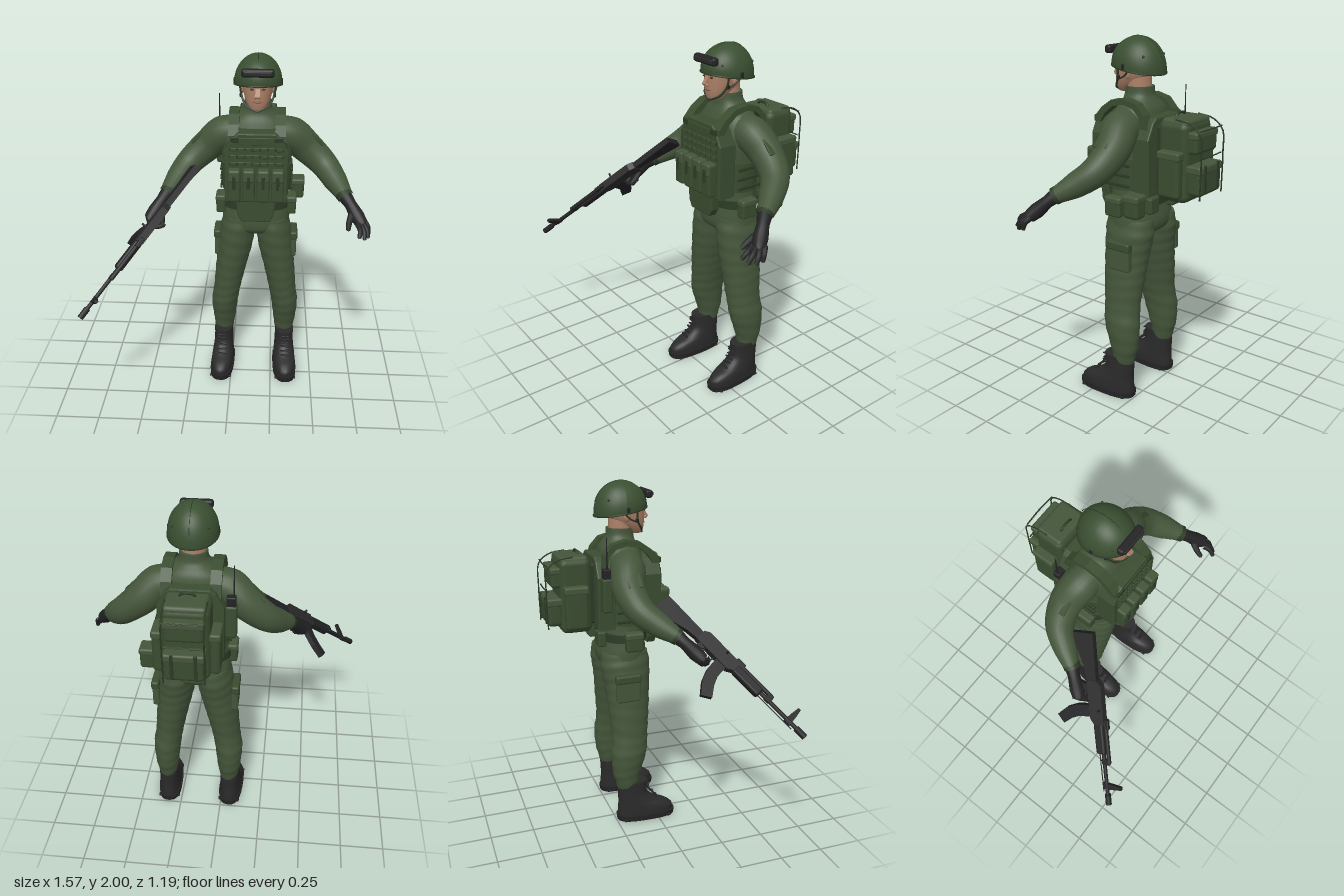
import * as THREE from 'three';
import { RoundedBoxGeometry } from 'three/addons/geometries/RoundedBoxGeometry.js';

const paint = (name, color, side = THREE.FrontSide) => {
  const m = new THREE.MeshStandardMaterial({ color, side });
  m.name = name;
  return m;
};

export function createModel() {
  const cloth = paint('uniform green', 0x44553a);
  const gear = paint('gear green', 0x3a4c30);
  const shell = paint('helmet green', 0x3a4f31, THREE.DoubleSide);
  const trim = paint('dark green trim', 0x2c3a25);
  const black = paint('black', 0x232325);
  const boot = paint('boot black', 0x2a2a2b);
  const skin = paint('skin', 0xab8067);
  const lip = paint('lips', 0x8c5c4c);
  const brow = paint('brow brown', 0x3a2b22);

  const model = new THREE.Group();
  const group = (name, parent = model) => {
    const g = new THREE.Group();
    g.name = name;
    parent.add(g);
    return g;
  };
  const add = (parent, name, geo, mat, x = 0, y = 0, z = 0) => {
    const m = new THREE.Mesh(geo, mat);
    m.name = name;
    m.position.set(x, y, z);
    parent.add(m);
    return m;
  };
  const box = (parent, name, mat, w, h, d, x, y, z, r = 0.012) =>
    add(parent, name, new RoundedBoxGeometry(w, h, d, 2, Math.min(r, w / 2.1, h / 2.1, d / 2.1)), mat, x, y, z);
  const both = (fn) => [1, -1].forEach(fn);

  // Smooth stack of horizontal rings; rows are [y, z, rx, rz, x], bottom to top
  function loft(rows, pow = 2, fold = 0, steps = 5, seg = 28) {
    const pos = [], idx = [], rings = [];
    const row = (i) => rows[Math.max(0, Math.min(rows.length - 1, i))];
    const last = (rows.length - 1) * steps;
    for (let k = 0; k <= last; k++) {
      const i = Math.min(Math.floor(k / steps), rows.length - 2), t = k / steps - i;
      rings.push([0, 1, 2, 3, 4].map((c) => {
        const [a, b, d, e] = [-1, 0, 1, 2].map((o) => row(i + o)[c] || 0);
        return b + 0.5 * t * (d - a + t * (2 * a - 5 * b + 4 * d - e + t * (3 * (b - d) + e - a)));
      }));
    }
    const ring = ([y, z, rx, rz, x]) => {
      for (let j = 0; j < seg; j++) {
        const a = (j / seg) * Math.PI * 2, c = Math.cos(a), s = Math.sin(a);
        const w = 1 + fold * Math.sin(y * 85 + 1.5 * Math.sin(a + y * 9));
        pos.push(x + w * rx * Math.sign(c) * Math.abs(c) ** (2 / pow), y, z + w * rz * Math.sign(s) * Math.abs(s) ** (2 / pow));
      }
    };
    rings.forEach(ring);
    for (let i = 0; i < last; i++) for (let j = 0; j < seg; j++) {
      const a = i * seg + j, b = i * seg + (j + 1) % seg;
      idx.push(a, a + seg, b, b, a + seg, b + seg);
    }
    [rings[0], rings[last]].forEach((r, top) => {
      const o = pos.length / 3;
      ring(r);
      pos.push(r[4], r[0], r[1]);
      for (let j = 0; j < seg; j++) {
        const a = o + j, b = o + (j + 1) % seg;
        idx.push(o + seg, top ? b : a, top ? a : b);
      }
    });
    const g = new THREE.BufferGeometry();
    g.setAttribute('position', new THREE.Float32BufferAttribute(pos, 3));
    g.setIndex(idx);
    g.computeVertexNormals();
    return g;
  }

  // Tube of changing radius; points are [x, y, z, r], mirrored by s
  function limb(points, s = 1, seg = 24, radial = 16) {
    const curve = new THREE.CatmullRomCurve3(points.map((p) => new THREE.Vector3(p[0] * s, p[1], p[2])));
    const g = new THREE.TubeGeometry(curve, seg, 1, radial), p = g.attributes.position, v = new THREE.Vector3();
    for (let i = 0; i < p.count; i++) {
      const u = Math.floor(i / (radial + 1)) / seg, c = curve.getPointAt(u);
      const f = curve.getUtoTmapping(u) * (points.length - 1), k = Math.min(Math.floor(f), points.length - 2);
      const r = THREE.MathUtils.lerp(points[k][3], points[k + 1][3], f - k);
      v.fromBufferAttribute(p, i).sub(c).multiplyScalar(r).add(c);
      p.setXYZ(i, v.x, v.y, v.z);
    }
    return g;
  }
  const cord = (r, ...pts) => limb(pts.map((p) => [...p, r]), 1, 20, 6);

  // Side profile of [z, y] points, extruded across x and centred
  function side(points, w) {
    const g = new THREE.ExtrudeGeometry(new THREE.Shape(points.map((p) => new THREE.Vector2(...p))), { depth: w, bevelEnabled: false });
    return g.translate(0, 0, -w / 2).rotateY(-Math.PI / 2);
  }
  // Front profile of [x, y] points with bevelled edges, thick along z
  function front(points, d) {
    const g = new THREE.ExtrudeGeometry(new THREE.Shape(points.map((p) => new THREE.Vector2(...p))),
      { depth: d - 0.016, bevelSize: 0.008, bevelThickness: 0.008, bevelSegments: 2 });
    return g.translate(0, 0, 0.008);
  }

  const body = group('soldier');
  body.position.x = 0.14;

  // Clothed body
  add(body, 'torso', loft([[0.94, -0.155, 0.08, 0.07], [0.98, -0.155, 0.185, 0.13], [1.04, -0.155, 0.198, 0.143], [1.13, -0.15, 0.19, 0.13],
    [1.24, -0.145, 0.185, 0.122], [1.38, -0.14, 0.195, 0.13], [1.5, -0.14, 0.205, 0.132], [1.58, -0.148, 0.195, 0.122],
    [1.635, -0.152, 0.16, 0.108], [1.675, -0.15, 0.105, 0.088], [1.705, -0.145, 0.08, 0.078], [1.745, -0.145, 0.074, 0.074]], 2.2), cloth);
  both((s) => {
    add(body, 'trouserLeg', loft([[0.2, -0.175, 0.05, 0.06, s * 0.19], [0.25, -0.178, 0.06, 0.068, s * 0.19], [0.32, -0.178, 0.07, 0.085, s * 0.19],
      [0.44, -0.163, 0.081, 0.106, s * 0.187], [0.55, -0.152, 0.083, 0.107, s * 0.17], [0.7, -0.15, 0.093, 0.12, s * 0.147],
      [0.85, -0.15, 0.103, 0.133, s * 0.121], [0.97, -0.156, 0.103, 0.145, s * 0.106], [1.05, -0.155, 0.09, 0.135, s * 0.1]], 2, 0.014, 8), cloth);
    add(body, 'sleeve', limb([[0.09, 1.56, -0.15, 0.085], [0.19, 1.54, -0.16, 0.1], [0.28, 1.46, -0.182, 0.091],
      [0.385, 1.365, -0.155, 0.078], [0.45, 1.295, -0.075, 0.067], [0.505, 1.235, 0.015, 0.043]], s, 36, 22), cloth);
    add(body, 'sleeveCuff', limb([[0.49, 1.25, -0.008, 0.048], [0.508, 1.232, 0.02, 0.046]], s, 2), trim);
    const patch = box(body, 'sleevePocket', gear, 0.1, 0.012, 0.08, s * 0.336, 1.518, -0.17, 0.004);
    patch.rotation.z = -s * 0.78;
    // Cargo pocket
    box(body, 'cargoPocket', cloth, 0.04, 0.15, 0.14, s * 0.225, 0.855, -0.175);
    box(body, 'cargoFlap', gear, 0.045, 0.05, 0.15, s * 0.228, 0.92, -0.175);

    // Boots
    const b = group('boot', body);
    b.position.x = s * 0.2;
    b.rotation.y = s * 0.05;
    add(b, 'sole', loft([[0, -0.065, 0.072, 0.177], [0.032, -0.065, 0.073, 0.18]], 2.7, 0, 1), black);
    add(b, 'upper', loft([[0.03, -0.067, 0.067, 0.172], [0.06, -0.068, 0.068, 0.17], [0.09, -0.085, 0.066, 0.15], [0.12, -0.118, 0.062, 0.115],
      [0.17, -0.145, 0.058, 0.09], [0.25, -0.148, 0.057, 0.09]], 2.3), boot);
    for (let i = 0; i < 6; i++) {
      const y = 0.125 + i * 0.021;
      const lace = box(b, 'lace', black, 0.056, 0.007, 0.014, 0, y, [0.0, -0.02, -0.038, -0.052, -0.057, -0.057][i] + 0.002, 0.003);
      lace.rotation.z = i % 2 ? 0.15 : -0.15;
    }
    for (let i = 0; i < 7; i++) box(b, 'tread', black, 0.13, 0.014, 0.02, 0, 0.008, -0.2 + i * 0.045, 0.003);

    // Gloves: open left hand, right hand closed on the grip
    const h = group('glove', body);
    add(h, 'palm', limb([[0.495, 1.245, 0.002, 0.042], [0.53, 1.205, 0.045, 0.033], [0.565, 1.157, 0.09, 0.041],
      [0.59, 1.125, 0.12, 0.034], [0.598, 1.112, 0.13, 0.004]], s), black);
    const tips = [[0.632, 1.065, 0.128], [0.627, 1.06, 0.165], [0.603, 1.064, 0.198], [0.572, 1.082, 0.215]];
    const base = [[0.605, 1.13, 0.095], [0.597, 1.125, 0.115], [0.585, 1.124, 0.132], [0.568, 1.13, 0.145]];
    base.forEach((k, i) => {
      const tip = s > 0 ? tips[i] : [k[0] - 0.065, k[1] - 0.025, k[2] + 0.012];
      const mid = k.map((v, c) => (v + tip[c]) / 2 + (s > 0 ? [0.008, 0.005, 0.005] : [0.015, -0.018, 0.02])[c]);
      add(h, 'finger', limb([[...k, 0.017], [...mid, 0.014], [...tip, 0.011], [...tip.map((v, c) => v + (tip[c] - mid[c]) * 0.12), 0.001]], s, 14, 10), black);
    });
    add(h, 'thumb', limb([[0.54, 1.17, 0.085, 0.021], [0.522, 1.135, 0.125, 0.017], [0.515, 1.105, 0.165, 0.012], [0.514, 1.1, 0.172, 0.001]], s, 14, 10), black);
  });

  // Head and face
  const head = group('head', body);
  add(head, 'neck', new THREE.CylinderGeometry(0.064, 0.068, 0.16, 24), skin, 0, 1.75, -0.14);
  add(head, 'skull', loft([[1.708, -0.045, 0.022, 0.022], [1.718, -0.055, 0.042, 0.042], [1.75, -0.075, 0.062, 0.07], [1.79, -0.1, 0.076, 0.098],
    [1.84, -0.112, 0.083, 0.11], [1.9, -0.115, 0.085, 0.112], [1.94, -0.12, 0.06, 0.08]], 2.2), skin);
  add(head, 'nose', side([[-0.01, 1.852], [0.022, 1.803], [0.017, 1.794], [-0.015, 1.79]], 0.024), skin);
  add(head, 'mouth', new THREE.SphereGeometry(1, 12, 8).scale(0.027, 0.006, 0.008), lip, 0, 1.768, -0.007);
  both((s) => {
    add(head, 'ear', new THREE.SphereGeometry(1, 14, 10).scale(0.012, 0.032, 0.022), skin, s * 0.085, 1.815, -0.125);
    add(head, 'nostril', new THREE.SphereGeometry(0.009, 10, 8), skin, s * 0.011, 1.797, 0.006);
    add(head, 'eyebrow', cord(0.004, [s * 0.014, 1.85, -0.001], [s * 0.032, 1.854, -0.006], [s * 0.05, 1.85, -0.018]), brow);
    add(head, 'eye', new THREE.SphereGeometry(1, 10, 8).scale(0.012, 0.005, 0.006), brow, s * 0.03, 1.837, -0.007);
    // Chin strap
    add(head, 'chinStrap', cord(0.006, [s * 0.1, 1.87, -0.07], [s * 0.088, 1.79, -0.065], [s * 0.062, 1.74, -0.035], [0, 1.712, -0.012]), trim);
    add(head, 'rearStrap', cord(0.005, [s * 0.11, 1.85, -0.16], [s * 0.094, 1.8, -0.11], [s * 0.085, 1.78, -0.065]), trim);
    box(head, 'buckle', black, 0.012, 0.022, 0.018, s * 0.092, 1.79, -0.07, 0.004);
  });

  // Helmet, with its rim raised at the brow
  const helmet = group('helmet', body);
  const lift = (x, y, z) => [x, y + z * 0.14 * (1 - y / 0.155), z];
  const dome = new THREE.SphereGeometry(1, 36, 18, 0, Math.PI * 2, 0, Math.PI * 0.53).scale(0.131, 0.152, 0.15);
  const dp = dome.attributes.position;
  for (let i = 0; i < dp.count; i++) dp.setXYZ(i, ...lift(dp.getX(i), dp.getY(i), dp.getZ(i)));
  dome.computeVertexNormals();
  add(helmet, 'dome', dome, shell, 0, 1.848, -0.137);
  const rim = Array.from({ length: 24 }, (_, i) => new THREE.Vector3(...lift(Math.sin(i * Math.PI / 12) * 0.131, -0.014, Math.cos(i * Math.PI / 12) * 0.15)));
  add(helmet, 'rim', new THREE.TubeGeometry(new THREE.CatmullRomCurve3(rim, true), 48, 0.005, 6, true), trim, 0, 1.848, -0.137);
  add(helmet, 'seam', new THREE.TorusGeometry(0.151, 0.002, 5, 36, Math.PI * 0.85).rotateZ(0.25).rotateY(Math.PI / 2), trim, 0, 1.849, -0.137);
  box(helmet, 'goggleBar', black, 0.175, 0.044, 0.04, 0, 1.928, 0.006, 0.014);
  box(helmet, 'goggleLens', boot, 0.15, 0.024, 0.016, 0, 1.928, 0.025, 0.006);
  both((s) => {
    for (const a of [0.75, 2.3]) add(helmet, 'bolt', new THREE.SphereGeometry(0.007, 8, 6), trim, s * Math.sin(a) * 0.121, 1.905, -0.137 + Math.cos(a) * 0.138);
    box(helmet, 'sideClip', black, 0.012, 0.035, 0.02, s * 0.128, 1.85, -0.13, 0.004);
  });

  // Plate carrier
  const vest = group('vest', body);
  const plate = [[-0.165, 1.21], [0.165, 1.21], [0.168, 1.5], [0.125, 1.58], [0.1, 1.6], [-0.1, 1.6], [-0.125, 1.58], [-0.168, 1.5]];
  add(vest, 'frontPlate', front(plate, 0.11), gear, 0, 0, -0.065);
  add(vest, 'backPlate', front(plate, 0.1), gear, 0, 0, -0.325);
  add(vest, 'sideBand', loft([[1.22, -0.143, 0.195, 0.132], [1.39, -0.143, 0.204, 0.135]], 2.3, 0, 1, 40), gear);
  for (let i = 0; i < 3; i++) both((s) => {
    box(vest, 'sideStrap', trim, 0.012, 0.018, 0.16, s * 0.2, 1.25 + i * 0.055, -0.143, 0.004);
  });
  both((s) => {
    add(vest, 'shoulderStrap', side([[0.04, 1.56], [0.035, 1.59], [-0.01, 1.64], [-0.07, 1.682], [-0.15, 1.695], [-0.23, 1.675], [-0.28, 1.62], [-0.3, 1.55],
      [-0.26, 1.55], [-0.25, 1.61], [-0.21, 1.65], [-0.15, 1.665], [-0.08, 1.65], [-0.03, 1.61], [0, 1.56]], 0.058), gear).position.x = s * 0.128;
    box(vest, 'strapBuckle', trim, 0.05, 0.03, 0.014, s * 0.12, 1.575, 0.045, 0.004);
  });
  for (let r = 0; r < 3; r++) {
    box(vest, 'webbing', trim, 0.3, 0.018, 0.008, 0, 1.435 + r * 0.042, 0.047, 0.003);
    for (let i = 0; i < 7; i++) box(vest, 'webbingLoop', gear, 0.034, 0.021, 0.01, (i - 3) * 0.042, 1.435 + r * 0.042, 0.049, 0.003);
  }
  box(vest, 'chestPanel', gear, 0.2, 0.04, 0.008, 0, 1.565, 0.047, 0.003);
  for (let i = 0; i < 4; i++) {
    const x = (i - 1.5) * 0.08;
    box(vest, 'magazinePouch', gear, 0.07, 0.18, 0.055, x, 1.315, 0.07);
    box(vest, 'pouchFlap', cloth, 0.066, 0.07, 0.06, x, 1.378, 0.073);
    box(vest, 'pouchTab', trim, 0.018, 0.075, 0.008, x, 1.345, 0.104, 0.003);
  }
  add(vest, 'groinFlap', front([[-0.075, 1.085], [0.075, 1.085], [0.095, 1.12], [0.105, 1.21], [-0.105, 1.21], [-0.095, 1.12]], 0.055), gear, 0, 0, -0.015);

  // Belt and hip pouches
  const belt = group('belt', body);
  add(belt, 'waistBelt', loft([[1.12, -0.15, 0.2, 0.14], [1.165, -0.15, 0.198, 0.138]], 2.3, 0, 1, 40), trim);
  both((s) => {
    box(belt, 'hipPouch', gear, 0.055, 0.1, 0.1, s * 0.205, 1.125, -0.13);
    box(belt, 'hipPouchFlap', cloth, 0.06, 0.04, 0.106, s * 0.205, 1.165, -0.13);
    box(belt, 'rearPouch', gear, 0.08, 0.09, 0.05, s * 0.1, 1.14, -0.295);
  });
  box(belt, 'canteenPouch', gear, 0.085, 0.12, 0.095, 0.24, 1.165, -0.285, 0.02);
  box(belt, 'canteenFlap', cloth, 0.09, 0.04, 0.1, 0.24, 1.21, -0.285);

  // Radio on the right shoulder blade
  const radio = group('radio', body);
  box(radio, 'radioPouch', gear, 0.062, 0.19, 0.055, -0.208, 1.415, -0.285);
  box(radio, 'radioBody', black, 0.05, 0.06, 0.042, -0.208, 1.53, -0.285, 0.006);
  add(radio, 'antenna', new THREE.CylinderGeometry(0.002, 0.005, 0.18, 8), black, -0.222, 1.645, -0.285);

  // Backpack
  const pack = group('backpack', body);
  box(pack, 'mainBag', gear, 0.25, 0.425, 0.18, 0, 1.397, -0.43, 0.04);
  box(pack, 'backPad', trim, 0.2, 0.34, 0.05, 0, 1.4, -0.335);
  add(pack, 'zipSeam', new THREE.TorusGeometry(0.006, 0.004, 5, 8), trim, 0, 1.607, -0.47);
  box(pack, 'lid', cloth, 0.22, 0.05, 0.16, 0, 1.592, -0.435, 0.02);
  box(pack, 'upperPocket', gear, 0.2, 0.11, 0.07, 0, 1.5, -0.53, 0.02);
  box(pack, 'upperPocketFlap', cloth, 0.206, 0.04, 0.074, 0, 1.54, -0.53);
  box(pack, 'lowerPocket', gear, 0.21, 0.16, 0.09, 0, 1.31, -0.548, 0.025);
  box(pack, 'lowerPocketFlap', cloth, 0.216, 0.045, 0.094, 0, 1.368, -0.548);
  add(pack, 'carryHandle', cord(0.007, [-0.045, 1.605, -0.4], [-0.03, 1.628, -0.4], [0.03, 1.628, -0.4], [0.045, 1.605, -0.4]), trim);
  both((s) => {
    box(pack, 'sidePocket', gear, 0.055, 0.24, 0.13, s * 0.147, 1.34, -0.44, 0.02);
    box(pack, 'sidePocketFlap', cloth, 0.06, 0.045, 0.135, s * 0.147, 1.44, -0.44);
    add(pack, 'lidStrap', cord(0.004, [s * 0.105, 1.615, -0.44], [s * 0.105, 1.6, -0.53], [s * 0.105, 1.55, -0.588], [s * 0.105, 1.43, -0.595], [s * 0.105, 1.22, -0.592]), trim);
    box(pack, 'pocketStrap', trim, 0.018, 0.15, 0.008, s * 0.06, 1.32, -0.594, 0.003);
  });
  for (const y of [1.43, 1.57]) add(pack, 'crossStrap', cord(0.004, [-0.105, y, -0.583], [0, y, -0.588], [0.105, y, -0.583]), trim);

  // Rifle: local +z points to the muzzle, +y to the sights
  const rifle = group('rifle');
  const f = new THREE.Vector3(-0.585, -0.655, 0.56).normalize();
  const right = new THREE.Vector3(0.355, 0.44, 0.83).cross(f).normalize();
  rifle.quaternion.setFromRotationMatrix(new THREE.Matrix4().makeBasis(right, f.clone().cross(right), f));
  rifle.position.set(-0.19, 1.4, 0.015);
  const rod = (name, r, z0, z1, y, mat = black) => add(rifle, name, new THREE.CylinderGeometry(r, r, z1 - z0, 12).rotateX(Math.PI / 2), mat, 0, y, (z0 + z1) / 2);
  add(rifle, 'stock', side([[0, 0.015], [0, -0.11], [0.02, -0.112], [0.2, -0.055], [0.28, -0.045], [0.28, 0.008]], 0.034), black);
  add(rifle, 'receiver', side([[0.27, 0.015], [0.27, -0.05], [0.5, -0.05], [0.53, -0.03], [0.53, 0.03], [0.3, 0.034]], 0.042), boot);
  add(rifle, 'pistolGrip', side([[0.3, -0.045], [0.275, -0.13], [0.305, -0.138], [0.34, -0.045]], 0.028), black);
  add(rifle, 'triggerGuard', cord(0.004, [0, -0.048, 0.34], [0, -0.08, 0.35], [0, -0.08, 0.4], [0, -0.048, 0.41]), black);
  add(rifle, 'magazine', side([[0.42, -0.04], [0.428, -0.13], [0.455, -0.2], [0.505, -0.265], [0.555, -0.23], [0.515, -0.17], [0.495, -0.12], [0.49, -0.04]], 0.028), black);
  box(rifle, 'handguard', black, 0.046, 0.058, 0.19, 0, -0.008, 0.62, 0.014);
  box(rifle, 'rearSight', black, 0.022, 0.024, 0.06, 0, 0.04, 0.53, 0.005);
  box(rifle, 'boltHandle', black, 0.04, 0.01, 0.012, -0.03, 0.015, 0.44, 0.004);
  rod('gasTube', 0.012, 0.52, 0.77, 0.03);
  rod('barrel', 0.011, 0.6, 1.0, 0);
  rod('cleaningRod', 0.003, 0.7, 0.96, -0.024);
  rod('muzzleBrake', 0.017, 0.975, 1.04, 0);
  box(rifle, 'gasBlock', black, 0.024, 0.05, 0.035, 0, 0.012, 0.765, 0.006);
  add(rifle, 'frontSight', side([[0.9, -0.02], [0.905, 0.045], [0.912, 0.095], [0.928, 0.095], [0.935, 0.045], [0.94, -0.02]], 0.018), black);

  return model;
}
